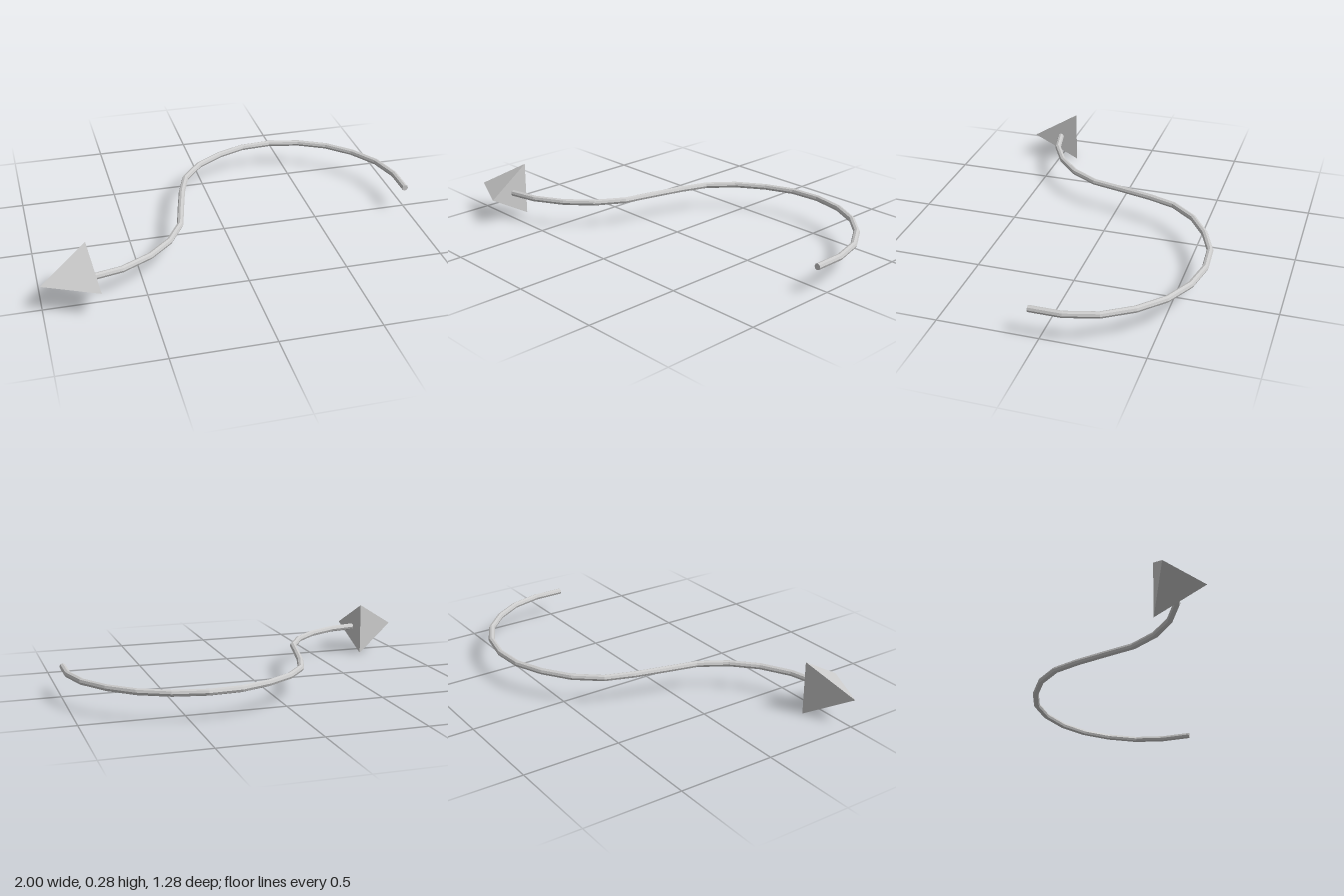
import * as THREE from 'three';

const Y = 0.141; // height of the arrow's centre line
const RADIUS = 0.0165;
const SIDES = 8;

// Bends of the shaft as [x, z], from the free end to the head
const BENDS = [
  [0.98, 0.055], [0.98, -0.105], [0.937, -0.265], [0.847, -0.405], [0.73, -0.517],
  [0.585, -0.592], [0.42, -0.626], [0.26, -0.615], [0.11, -0.556], [-0.027, -0.465],
  [-0.13, -0.34], [-0.18, -0.197], [-0.222, -0.03], [-0.26, 0.13], [-0.344, 0.27],
  [-0.462, 0.38], [-0.61, 0.46], [-0.757, 0.492],
];

// Curve sampled exactly at its bends, so each one gets a ring of the tube
class BendCurve extends THREE.CatmullRomCurve3 {
  getPointAt(u, target) { return this.getPoint(u, target); }
  getTangentAt(u, target) { return this.getTangent(u, target); }
}

export function createModel() {
  const model = new THREE.Group();
  model.name = 'curvedArrow';
  const material = new THREE.MeshStandardMaterial({ color: 0xcccccc, flatShading: true });
  const add = (name, geometry) => {
    const mesh = new THREE.Mesh(geometry, material);
    mesh.name = name;
    model.add(mesh);
    return mesh;
  };

  // Winding shaft
  const curve = new BendCurve(BENDS.map(([x, z]) => new THREE.Vector3(x, Y, z)));
  add('shaft', new THREE.TubeGeometry(curve, BENDS.length - 1, RADIUS, SIDES));

  // Flat caps on both ends of the shaft
  for (const [name, u, sign] of [['tailCap', 0, -1], ['headCap', 1, 1]]) {
    const cap = add(name, new THREE.CircleGeometry(RADIUS, SIDES));
    const outward = curve.getTangentAt(u).multiplyScalar(sign);
    cap.position.copy(curve.getPointAt(u));
    cap.lookAt(cap.position.clone().add(outward));
  }

  // Three-sided pyramid head, one base corner pointing sideways
  const length = 0.246;
  const forward = new THREE.Vector3(-0.99, 0, 0.143).normalize();
  const side = new THREE.Vector3(0.143, 0, 0.99).normalize();
  const head = add('arrowHead', new THREE.ConeGeometry(0.161, length, 3));
  head.quaternion.setFromRotationMatrix(
    new THREE.Matrix4().makeBasis(new THREE.Vector3(0, 1, 0), forward, side));
  head.position.set(-1, Y, 0.514).addScaledVector(forward, -length / 2);

  return model;
}
